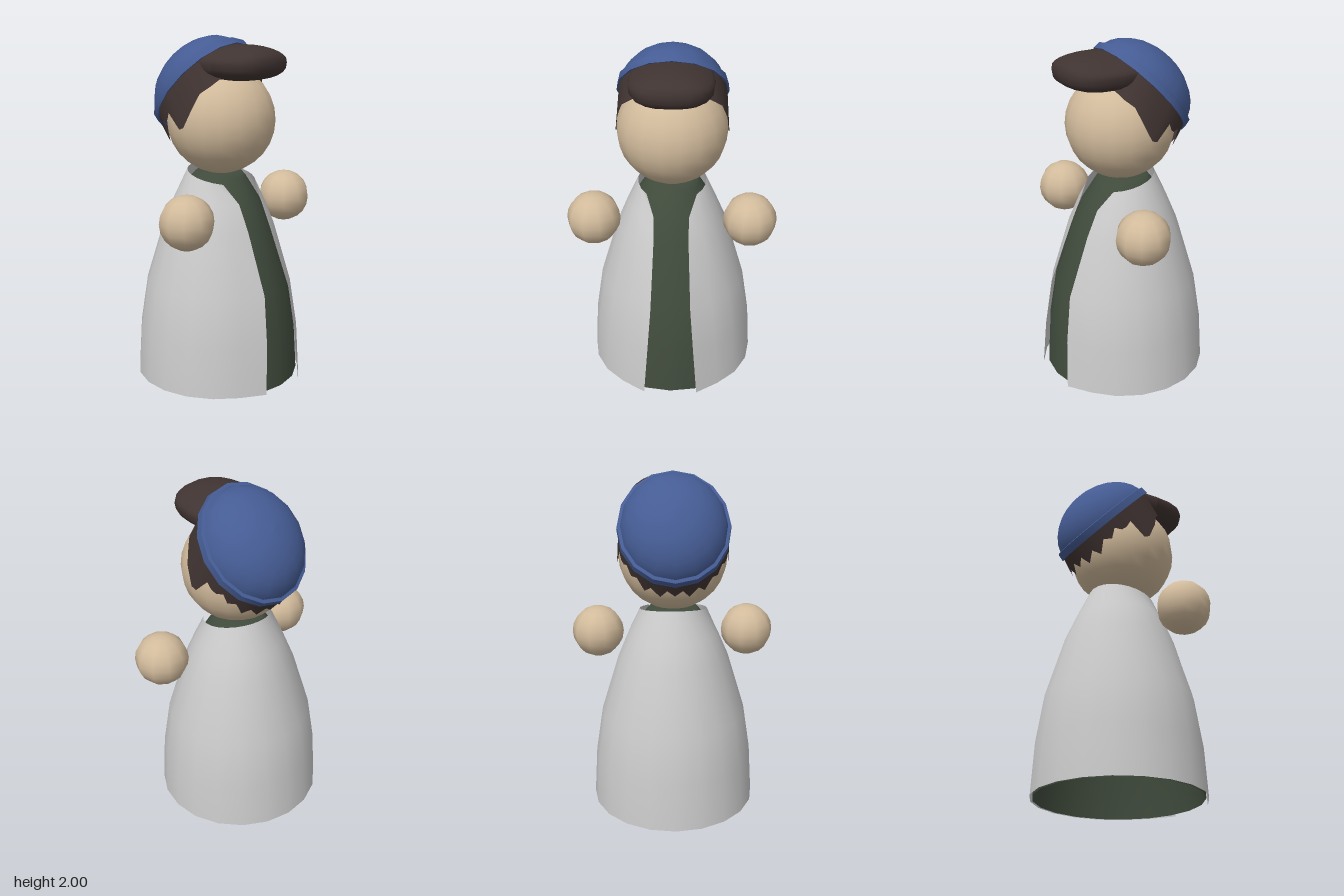
import * as THREE from 'three';
import { toCreasedNormals } from 'three/addons/utils/BufferGeometryUtils.js';

const mat = (color) => new THREE.MeshStandardMaterial({ color, side: THREE.DoubleSide });

// Open sheet: rows run upward, columns run anticlockwise seen from above.
function loft(rows, cols, point) {
  const pos = [], idx = [];
  for (let i = 0; i <= rows; i++)
    for (let j = 0; j <= cols; j++) {
      pos.push(...point(i, j));
      if (i < rows && j < cols) {
        const a = i * (cols + 1) + j, c = a + cols + 1;
        idx.push(a, a + 1, c, a + 1, c + 1, c);
      }
    }
  const g = new THREE.BufferGeometry();
  g.setAttribute('position', new THREE.Float32BufferAttribute(pos, 3));
  g.setIndex(idx);
  g.computeVertexNormals();
  return g;
}

const lathe = (pts, segs) =>
  new THREE.LatheGeometry(pts.map(([r, y]) => new THREE.Vector2(r, y)), segs);

export function createModel() {
  const model = new THREE.Group();
  const skin = mat(0xd2bb9c), green = mat(0x414c3d), grey = mat(0xcccccc);
  const brown = mat(0x403432), blue = mat(0x455c94);

  function add(parent, name, geometry, material, x = 0, y = 0, z = 0) {
    const m = new THREE.Mesh(geometry, material);
    m.name = name;
    m.position.set(x, y, z);
    parent.add(m);
    return m;
  }

  // Head and floating hands
  add(model, 'head', new THREE.SphereGeometry(0.315, 18, 14), skin, 0, 1.53, 0.02);
  for (const s of [1, -1])
    add(model, s > 0 ? 'leftHand' : 'rightHand',
      new THREE.SphereGeometry(0.155, 10, 10), skin, s * 0.45, 1.02, 0.15);

  // Inner garment, open at the bottom
  add(model, 'innerBody', lathe([[0.475, 0], [0.457, 0.29], [0.412, 0.57], [0.305, 0.92],
    [0.24, 1.07], [0.165, 1.19], [0.135, 1.225], [0, 1.225]], 20), green);

  // Robe: [height, back radius, front-edge radius, half opening in degrees]
  const robe = [[0, 0.49, 0.512, 17.8], [0.29, 0.473, 0.49, 16], [0.57, 0.43, 0.449, 14.8],
    [0.92, 0.325, 0.318, 18.4], [1.07, 0.262, 0.255, 23], [1.25, 0.178, 0.215, 43]];
  add(model, 'robe', loft(robe.length - 1, 18, (i, j) => {
    const [h, rBack, rFront, open] = robe[i];
    const a = THREE.MathUtils.degToRad(open + (360 - 2 * open) * j / 18);
    const front = (1 + Math.cos(a)) / 2;
    const top = i === robe.length - 1;
    const edge = top ? front : (j === 0 || j === 18 ? 1 : 0);
    const r = rBack + (rFront - rBack) * edge;
    return [r * Math.sin(a), top ? h - 0.08 * front : h, r * Math.cos(a)];
  }), grey);

  // Hat and hair share a frame tilted backwards
  const headwear = new THREE.Group();
  headwear.name = 'headwear';
  headwear.position.set(0, 1.705, -0.104);
  headwear.rotation.x = -0.835;
  model.add(headwear);

  const dome = [];
  for (let i = 0; i <= 8; i++) {
    const t = i / 8 * Math.PI / 2;
    dome.push([0.337 * Math.cos(t), 0.247 * Math.sin(t)]);
  }
  add(headwear, 'hatDome', lathe(dome, 16), blue).scale.x = 0.9;
  const band = lathe([[0.31, 0], [0.354, 0], [0.35, 0.045], [0.325, 0.05]], 16);
  add(headwear, 'hatBand', toCreasedNormals(band, 0.7), blue).scale.x = 0.9;

  // Jagged hair fringe: [degrees from the front, length below the hat], mirrored
  const half = [[0, 0.13], [24, 0.14], [48, 0.155], [60, 0.15], [74, 0.184], [92, 0.217],
    [98, 0.2], [103, 0.077], [110, 0.09], [116, 0.085], [122, 0.05], [130, 0.09], [138, 0.06],
    [148, 0.12], [155, 0.07], [165, 0.12], [172, 0.06], [180, 0.1]];
  const fringe = [...half, ...half.slice(0, -1).reverse().map(([a, d]) => [360 - a, d])];
  add(headwear, 'hair', loft(3, fringe.length - 1, (i, j) => {
    const a = THREE.MathUtils.degToRad(fringe[j][0]);
    const d = fringe[j][1] * (1 - i / 3) - 0.01 * (i / 3);
    return [(0.308 + 0.06 * d) * Math.sin(a), -d, 0.335 * Math.cos(a) - 0.25 * d];
  }), brown);

  // Swept quiff: a squared-off ellipsoid whose upper side curves down at the ends
  const quiff = new THREE.SphereGeometry(1, 20, 14);
  const p = quiff.attributes.position;
  const square = (v) => Math.sign(v) * Math.abs(v) ** 0.75;
  for (let i = 0; i < p.count; i++) {
    const x = 0.235 * square(p.getX(i)), u = square(p.getY(i));
    p.setXYZ(i, x, 0.1 * u - 0.9 * x * x * Math.max(u, 0), 0.265 * square(p.getZ(i)));
  }
  quiff.computeVertexNormals();
  add(model, 'quiff', quiff, brown, 0, 1.86, 0.138);

  return model;
}
